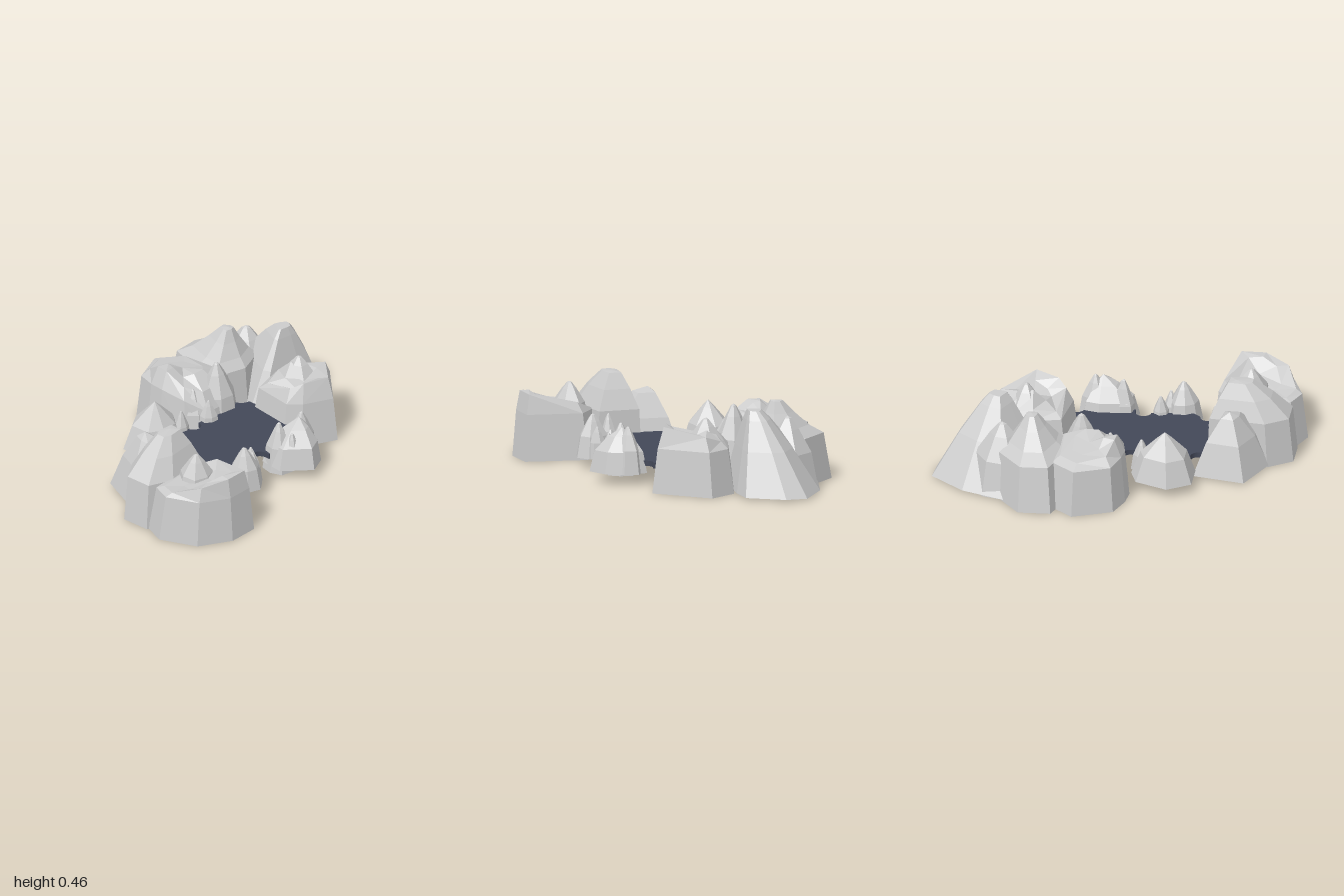
import * as THREE from 'three';

const stone = new THREE.MeshStandardMaterial({ color: 0xcccccc, flatShading: true, side: THREE.DoubleSide });
const water = new THREE.MeshStandardMaterial({ color: 0x434858, flatShading: true, side: THREE.DoubleSide });

// Open-bottomed rock: a ground outline [x, z] lofted through levels { y, s } that
// shrink towards a centre; y may be a list of heights, one per outline point.
function rock(name, outline, y0, [cx, cz], levels, topY) {
  const area = outline.reduce((sum, [x, z], i) => {
    const [nx, nz] = outline[(i + 1) % outline.length];
    return sum + x * nz - nx * z;
  }, 0);
  const flip = area < 0;
  const rings = [{ y: y0, s: 1 }, ...levels].map(({ y, s }) =>
    outline.map(([x, z], i) => [cx + (x - cx) * s, Array.isArray(y) ? y[i] : y, cz + (z - cz) * s]));
  const top = [cx, topY, cz];
  const positions = [];
  const tri = (a, b, c) => positions.push(...a, ...(flip ? c : b), ...(flip ? b : c));
  const n = outline.length;
  rings.forEach((ring, r) => {
    const next = rings[r + 1];
    for (let i = 0; i < n; i++) {
      const j = (i + 1) % n;
      if (next) {
        tri(ring[i], next[i], ring[j]);
        tri(ring[j], next[i], next[j]);
      } else {
        tri(ring[i], top, ring[j]);
      }
    }
  });
  const geometry = new THREE.BufferGeometry();
  geometry.setAttribute('position', new THREE.Float32BufferAttribute(positions, 3));
  geometry.computeVertexNormals();
  const mesh = new THREE.Mesh(geometry, stone);
  mesh.name = name;
  return mesh;
}

// Small pointed rock with a slightly uneven round footprint
function spire(name, x, z, r, y0, y1, sides = 7) {
  const outline = [];
  for (let i = 0; i < sides; i++) {
    const a = (i / sides) * Math.PI * 2 + x * 9;
    const k = r * (1 + 0.1 * Math.sin(i * 2.3 + z * 7));
    outline.push([x + Math.cos(a) * k, z + Math.sin(a) * k]);
  }
  const h = y1 - y0;
  return rock(name, outline, y0, [x, z], [
    { y: y0 + h * 0.5, s: 0.78 }, { y: y0 + h * 0.82, s: 0.36 }, { y: y0 + h * 0.97, s: 0.12 },
  ], y1);
}

// Thin slab of water with round bites along its edge
function pond() {
  const shape = new THREE.Shape();
  const bite = (x, z, r, from, to) => shape.absarc(x, z, r, from, to, true);
  const P = Math.PI;
  shape.moveTo(-0.1, -0.33);
  shape.lineTo(0.28, -0.33);
  bite(0.33, -0.29, 0.05, P * 1.25, P * 0.5);
  shape.lineTo(0.36, 0.04);
  bite(0.33, 0.085, 0.045, P * 1.5, P * 0.5);
  shape.lineTo(0.36, 0.36);
  bite(0.32, 0.45, 0.045, P * 1.5, P * 0.5);
  shape.lineTo(0.25, 0.5);
  shape.lineTo(-0.08, 0.5);
  bite(-0.15, 0.46, 0.045, P * 0.3, -P * 0.5);
  shape.lineTo(-0.2, 0.14);
  bite(-0.17, 0.085, 0.045, P * 0.5, -P * 0.5);
  shape.lineTo(-0.2, -0.26);
  bite(-0.19, -0.33, 0.06, P * 0.5, 0);
  const geometry = new THREE.ExtrudeGeometry(shape, { depth: 0.03, bevelEnabled: false, curveSegments: 8 });
  geometry.rotateX(P / 2).translate(0, 0.13, 0);
  const mesh = new THREE.Mesh(geometry, water);
  mesh.name = 'pond';
  return mesh;
}

export function createModel() {
  const model = new THREE.Group();
  model.name = 'rockPool';
  model.add(pond());

  // Large rocks at the back
  model.add(
    rock('backCliff', [[-0.36, -1], [-0.24, -0.99], [-0.05, -0.86], [-0.05, -0.72], [-0.1, -0.4],
      [-0.17, -0.37], [-0.28, -0.42], [-0.59, -0.57], [-0.51, -0.81]], 0.01, [-0.16, -0.65],
    [{ y: 0.25, s: 0.6 }, { y: 0.41, s: 0.28 }, { y: 0.46, s: 0.15 }], 0.46),
    spire('backRidge', -0.4, -0.6, 0.19, 0, 0.4, 6),
    rock('backRightRock', [[-0.05, -0.68], [0.11, -0.76], [0.37, -0.51], [0.28, -0.32], [0.2, -0.25],
      [-0.08, -0.29], [-0.13, -0.47]], 0, [0.14, -0.5],
    [{ y: 0.25, s: 0.86 },
      { y: [0.29, 0.33, 0.37, 0.36, 0.33, 0.28, 0.3], s: 0.7 },
      { y: [0.35, 0.33, 0.34, 0.31, 0.28, 0.31, 0.38], s: 0.38 }], 0.3),
    spire('backRightPeak', 0.06, -0.53, 0.13, 0.15, 0.41, 6));

  // Rocks along the left edge
  model.add(
    rock('sideCliff', [[-0.71, -0.47], [-0.52, -0.63], [-0.3, -0.62], [-0.22, -0.42], [-0.28, -0.2],
      [-0.45, -0.2], [-0.7, -0.29]], 0, [-0.385, -0.44],
    [{ y: 0.26, s: 0.86 }, { y: 0.31, s: 0.6 }, { y: 0.39, s: 0.33 }, { y: 0.455, s: 0.14 }], 0.46),
    rock('sideRock', [[-0.72, -0.17], [-0.63, 0.05], [-0.5, 0.1], [-0.4, 0.11], [-0.24, 0.08],
      [-0.13, -0.02], [-0.13, -0.2], [-0.25, -0.33], [-0.6, -0.32]], 0, [-0.43, -0.11],
    [{ y: [0.26, 0.26, 0.27, 0.27, 0.24, 0.17, 0.17, 0.26, 0.26], s: 0.89 },
      { y: [0.29, 0.31, 0.37, 0.37, 0.3, 0.27, 0.27, 0.3, 0.29], s: 0.7 },
      { y: [0.3, 0.32, 0.37, 0.36, 0.32, 0.34, 0.34, 0.32, 0.3], s: 0.4 }], 0.32),
    spire('sideSpire', -0.24, -0.18, 0.13, 0.02, 0.4),
    spire('sideSpire', -0.26, -0.01, 0.09, 0.02, 0.29),
    spire('sideSpire', -0.16, -0.03, 0.06, 0.06, 0.25),
    rock('sideCone', [[-0.44, 0.32], [-0.37, 0.14], [-0.26, 0.1], [-0.14, 0.2], [-0.13, 0.34],
      [-0.19, 0.45], [-0.36, 0.45]], 0.06, [-0.27, 0.29],
    [{ y: 0.2, s: 0.72 }, { y: 0.29, s: 0.24 }], 0.33),
    spire('sideSpire', -0.2, 0.15, 0.055, 0.06, 0.24));

  // Rocks at the front
  model.add(
    rock('frontSlope', [[-0.21, 0.72], [-0.16, 0.43], [0.25, 0.48], [0.25, 0.83], [0.03, 0.83]], 0.01,
      [-0.04, 0.62], [{ y: 0.2, s: 0.64 }, { y: 0.33, s: 0.24 }], 0.36),
    rock('frontPeak', [[0.02, 0.82], [0.11, 0.955], [0.28, 0.955], [0.34, 0.8], [0.3, 0.5], [0.05, 0.48]], 0,
      [0.16, 0.63], [{ y: 0.26, s: 0.92 }, { y: 0.37, s: 0.6 }, { y: 0.455, s: 0.28 }], 0.46),
    rock('frontCliff', [[0.41, 0.995], [0.62, 0.91], [0.72, 0.73], [0.715, 0.55], [0.37, 0.47],
      [0.25, 0.6], [0.28, 0.94]], 0, [0.55, 0.7],
    [{ y: 0.26, s: [0.88][0] },
      { y: [0.28, 0.34, 0.37, 0.37, 0.32, 0.27, 0.27], s: 0.76 },
      { y: [0.28, 0.34, 0.37, 0.36, 0.3, 0.27, 0.27], s: 0.45 }], 0.3),
    spire('frontSpire', 0.4, 0.68, 0.12, 0.18, 0.41),
    spire('frontSpire', 0.24, 0.5, 0.05, 0.05, 0.25));

  // Small rocks along the right edge
  model.add(
    rock('edgeRock', [[0.28, -0.16], [0.3, -0.25], [0.43, -0.26], [0.53, -0.2], [0.58, -0.09],
      [0.45, 0.05], [0.3, 0.03]], 0.06, [0.41, -0.15],
    [{ y: 0.18, s: 0.84 }, { y: 0.26, s: 0.42 }], 0.31),
    spire('edgeSpire', 0.39, -0.19, 0.09, 0.06, 0.32),
    spire('edgeSpire', 0.37, -0.03, 0.085, 0.02, 0.31),
    spire('edgeSpire', 0.45, -0.05, 0.06, 0.06, 0.26),
    spire('edgeCone', 0.41, 0.3, 0.1, 0.06, 0.3, 8),
    spire('edgeCone', 0.41, 0.23, 0.055, 0.06, 0.24),
    spire('edgeCone', 0.35, 0.18, 0.055, 0.06, 0.23));

  return model;
}
